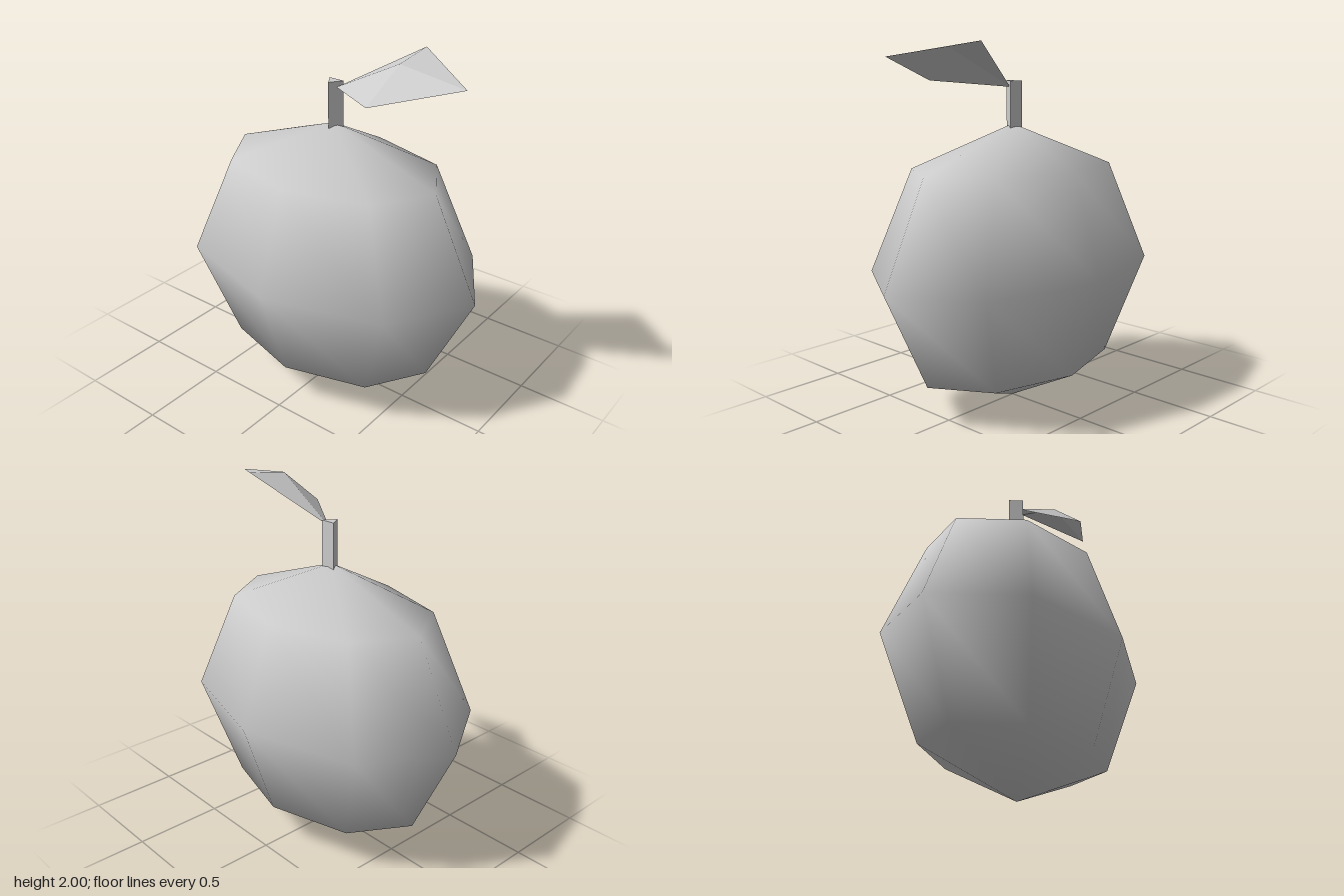
import * as THREE from 'three';

export function createModel() {
  const group = new THREE.Group();
  group.name = 'fruit';

  const grey = new THREE.MeshStandardMaterial({ color: 0xcccccc, side: THREE.DoubleSide });
  grey.name = 'light grey';

  const add = (name, geometry) => {
    const mesh = new THREE.Mesh(geometry, grey);
    mesh.name = name;
    group.add(mesh);
    return mesh;
  };

  // Fruit body: coarse ellipsoid, smooth shaded
  const body = new THREE.SphereGeometry(1, 8, 4);
  body.scale(0.915, 0.778, 0.62);
  add('body', body).position.y = 0.782;

  // Stem: three-sided prism with one edge to the front
  const stem = new THREE.CylinderGeometry(0.047, 0.047, 0.29, 3).toNonIndexed();
  stem.computeVertexNormals();
  stem.scale(0.045 / 0.0407, 1, 1);
  stem.translate(0, 1.645, -0.003);
  add('stem', stem);

  // Leaf: folded diamond, four facets around a raised middle point
  const middle = [0.43, 1.97, 0.04];
  const rim = [
    [0.02, 1.757, 0],
    [0.38, 1.795, 0.24],
    [0.815, 1.925, 0.06],
    [0.43, 2.0, -0.195],
  ];
  const corners = rim.flatMap((p, i) => [...middle, ...p, ...rim[(i + 1) % rim.length]]);
  const leaf = new THREE.BufferGeometry();
  leaf.setAttribute('position', new THREE.Float32BufferAttribute(corners, 3));
  leaf.computeVertexNormals();
  add('leaf', leaf);

  return group;
}
